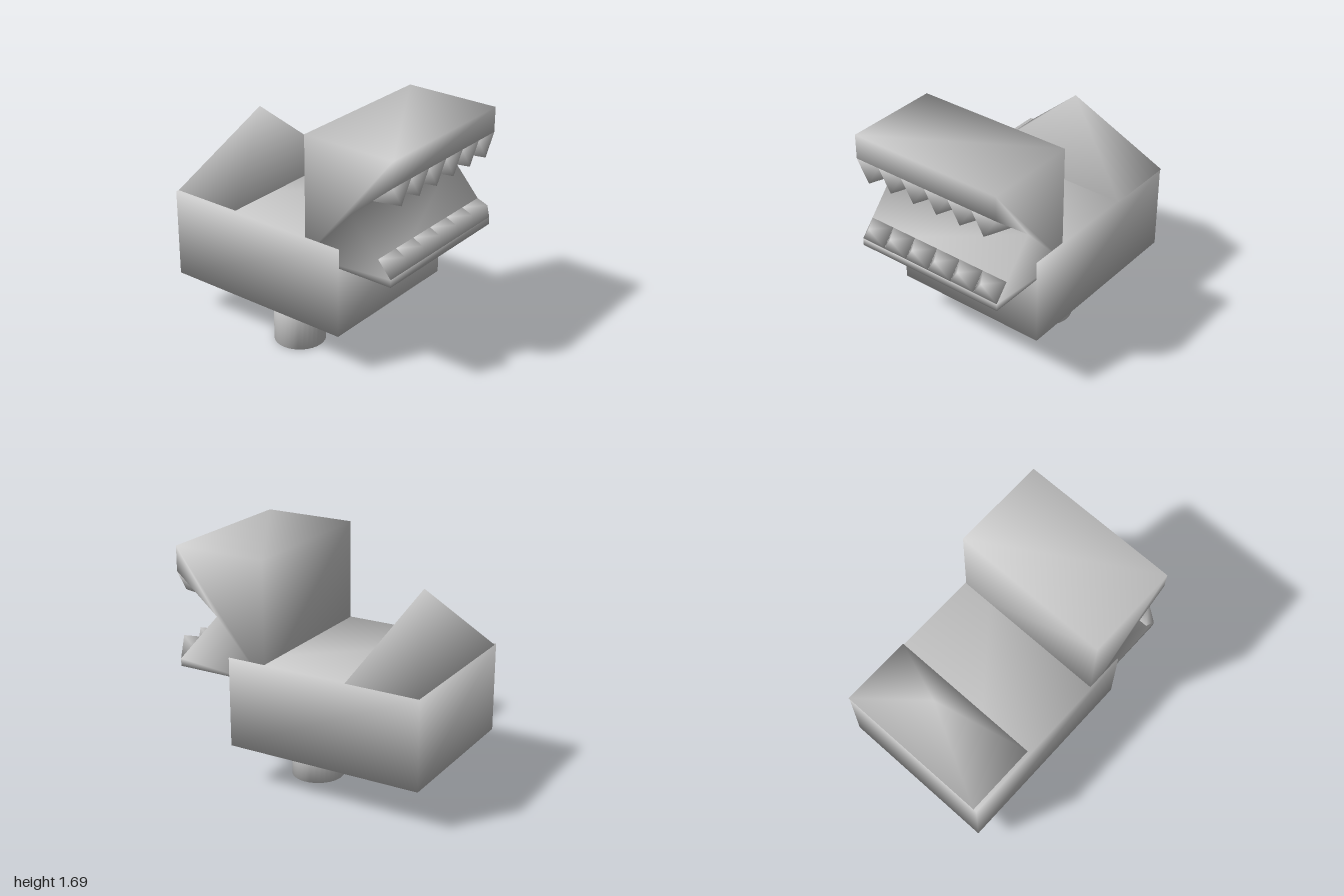
import * as THREE from 'three';
import { mergeVertices } from 'three/addons/utils/BufferGeometryUtils.js';

const material = new THREE.MeshStandardMaterial({ color: 0xcccccc });

// Shares all corners so the normals run smoothly round every edge
function smooth(geometry) {
  geometry.deleteAttribute('normal');
  geometry.deleteAttribute('uv');
  const merged = mergeVertices(geometry);
  merged.computeVertexNormals();
  return merged;
}

function part(name, geometry, x, y, z) {
  const mesh = new THREE.Mesh(smooth(geometry), material);
  mesh.name = name;
  mesh.position.set(x, y, z);
  return mesh;
}

// Four-sided pyramid standing on its rectangular base
function pyramid(width, height, depth) {
  return new THREE.ConeGeometry(Math.SQRT1_2, 1, 4)
    .rotateY(Math.PI / 4)
    .translate(0, 0.5, 0)
    .scale(width, height, depth);
}

export function createModel() {
  const model = new THREE.Group();
  model.name = 'creature';

  // Body and pyramid tail
  model.add(part('body', new THREE.BoxGeometry(1.464, 0.655, 1.186), -0.225, 0.6275, -0.005));
  model.add(part('tail', pyramid(0.544, 0.53, 1.17), -0.685, 0.955, -0.022));

  // Two uneven legs
  for (const [name, bottom, z] of [['frontLeg', 0, 0.355], ['backLeg', 0.095, -0.287]]) {
    const height = 0.32 - bottom;
    model.add(part(name, new THREE.CylinderGeometry(0.185, 0.185, height, 32), -0.018, bottom + height / 2, z));
  }

  // Head: block with a wedge-shaped mouth cut out
  const headDepth = 1.168, headZ = -0.006, lipX = 0.922;
  const profile = new THREE.Shape([
    [0.222, 0.815], [lipX, 0.815], [lipX, 0.87], [0.6, 1.235],
    [lipX, 1.51], [lipX, 1.69], [0.222, 1.69],
  ].map(([x, y]) => new THREE.Vector2(x, y)));
  const head = new THREE.ExtrudeGeometry(profile, { depth: headDepth, bevelEnabled: false });
  model.add(part('head', head, 0, 0, headZ - headDepth / 2));

  // Rows of pyramid teeth standing square on the mouth slopes
  const rows = [
    { name: 'upperTooth', length: 0.2, x: lipX - 0.076, y: 1.445, tilt: -2.44 },
    { name: 'lowerTooth', length: 0.155, x: lipX - 0.052, y: 0.928, tilt: -0.843 },
  ];
  const count = 6, toothWidth = headDepth / count;
  for (const row of rows) {
    for (let i = 0; i < count; i++) {
      const z = headZ + (i - (count - 1) / 2) * toothWidth;
      const tooth = part(row.name, pyramid(row.length, 0.12, toothWidth), row.x, row.y, z);
      tooth.rotation.z = row.tilt;
      model.add(tooth);
    }
  }

  // The whole creature is turned slightly
  model.rotation.y = 0.074;
  return model;
}
